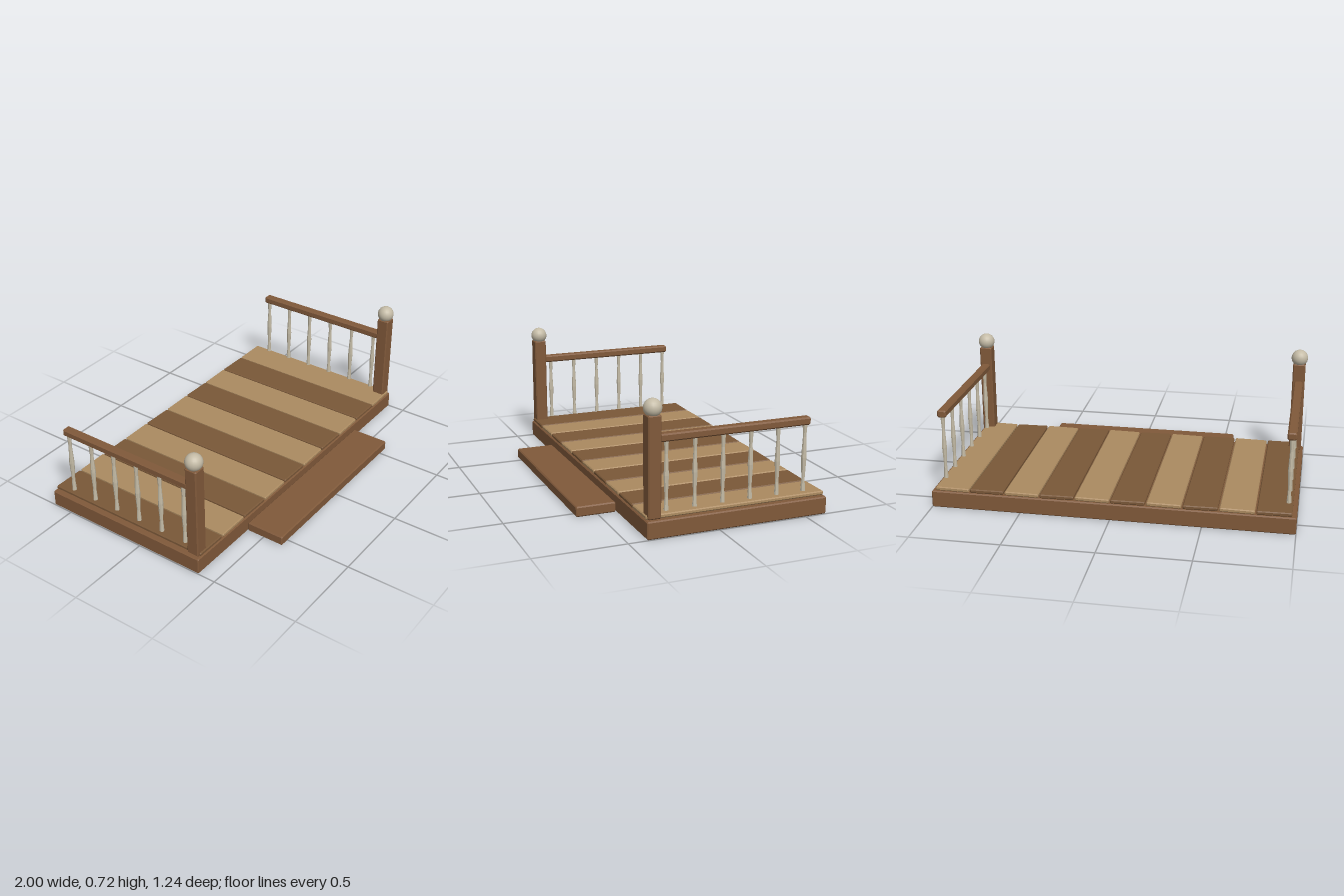
import * as THREE from 'three';

const mat = (name, color) => {
  const m = new THREE.MeshStandardMaterial({ color });
  m.name = name;
  return m;
};

// Box with chamfered edges, centred on its own origin
function chamferBox(w, h, d, c) {
  const x = w / 2 - c, y = h / 2 - c, k = c * 0.5;
  const s = new THREE.Shape([
    [-x + k, -y], [x - k, -y], [x, -y + k], [x, y - k],
    [x - k, y], [-x + k, y], [-x, y - k], [-x, -y + k],
  ].map(([a, b]) => new THREE.Vector2(a, b)));
  const g = new THREE.ExtrudeGeometry(s, {
    depth: d - 2 * c, bevelEnabled: true, bevelThickness: c, bevelSize: c, bevelSegments: 1,
  });
  return g.translate(0, 0, -d / 2 + c);
}

export function createModel() {
  const model = new THREE.Group();
  model.name = 'porch';
  const frameWood = mat('frame wood', 0x80593a);
  const darkWood = mat('dark plank wood', 0x7a5838);
  const lightWood = mat('light plank wood', 0xab8a60);
  const cream = mat('cream paint', 0xc4bba6);

  const add = (name, geo, material, x, y, z, parent = model) => {
    const m = new THREE.Mesh(geo, material);
    m.name = name;
    m.position.set(x, y, z);
    parent.add(m);
    return m;
  };

  // Platform and front step
  add('platform', chamferBox(2, 0.096, 1.02, 0.006), frameWood, 0, 0.048, -0.112);
  add('step', chamferBox(1.12, 0.057, 0.222, 0.006), frameWood, 0, 0.0285, 0.511);

  // Deck planks, alternating in tone and very slightly tilted
  const plank = chamferBox(0.188, 0.022, 1.012, 0.005);
  for (let i = 0; i < 10; i++) {
    const p = add('plank', plank, i % 2 ? lightWood : darkWood, (i - 4.5) * 0.196, 0.109, -0.11);
    p.rotation.z = i % 2 ? 0.012 : -0.012;
  }

  // Shared railing shapes
  const post = chamferBox(0.072, 0.537, 0.072, 0.006);
  const ball = new THREE.SphereGeometry(0.048, 20, 14);
  const rail = chamferBox(0.05, 0.042, 0.843, 0.007);
  const spindle = new THREE.LatheGeometry([
    [0, 0], [0.013, 0], [0.009, 0.07], [0.0105, 0.1], [0.0145, 0.183],
    [0.0105, 0.265], [0.009, 0.295], [0.013, 0.365], [0, 0.365],
  ].map(([r, y]) => new THREE.Vector2(r, y)), 8).toNonIndexed();
  spindle.computeVertexNormals();

  // One railing on each side
  for (const side of [-1, 1]) {
    const railing = new THREE.Group();
    railing.name = side > 0 ? 'leftRailing' : 'rightRailing';
    railing.position.x = side * 0.952;
    model.add(railing);
    add('post', post, frameWood, 0, 0.3685, 0.353, railing);
    add('postBall', ball, cream, 0, 0.669, 0.352, railing);
    add('handrail', rail, frameWood, 0, 0.514, -0.1025, railing);
    for (let i = 0; i < 6; i++) {
      add('spindle', spindle, cream, 0, 0.13, 0.278 - i * 0.156, railing);
    }
  }
  return model;
}
